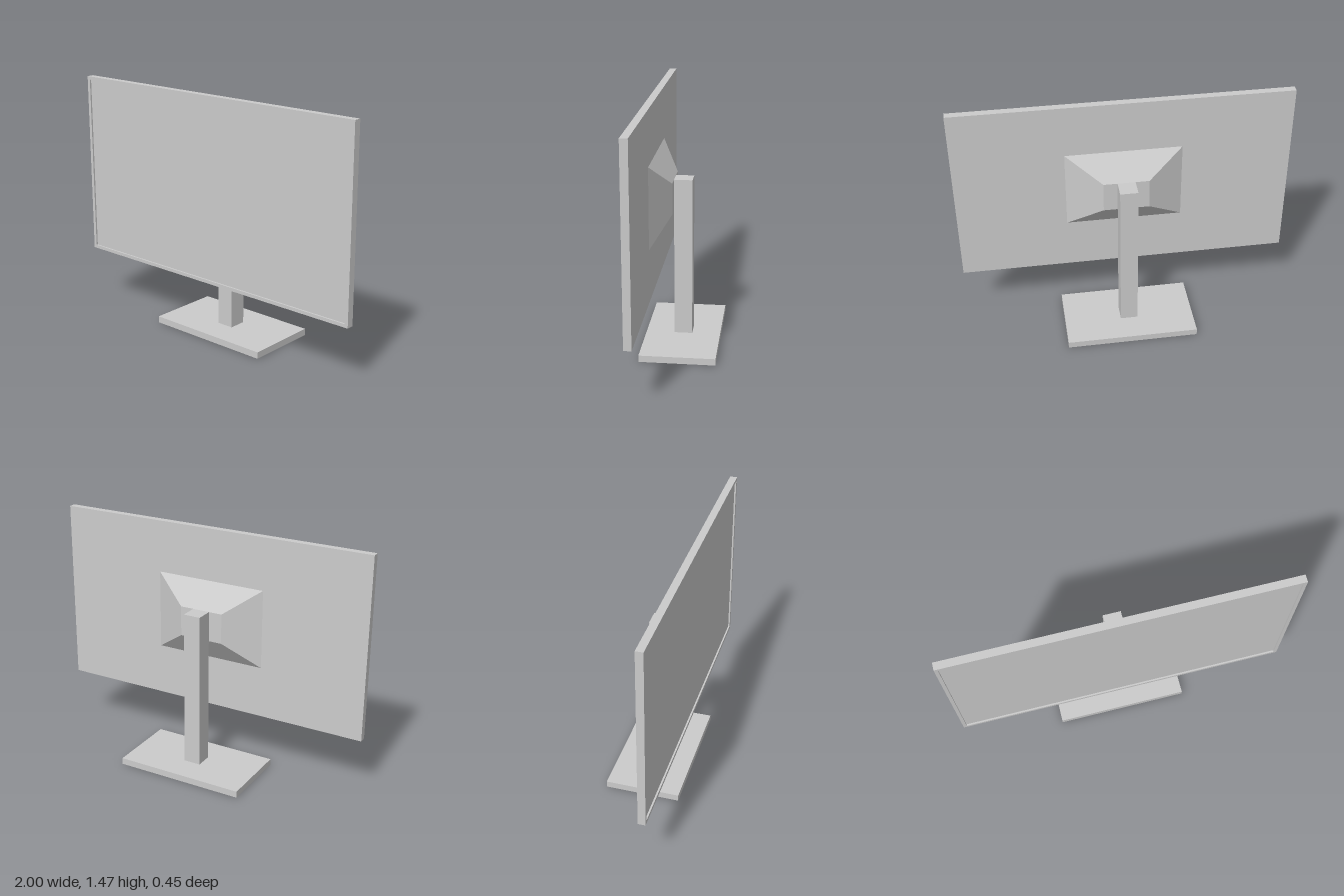
import * as THREE from 'three';

const material = new THREE.MeshStandardMaterial({ color: 0xcccccc, side: THREE.DoubleSide });

function addPart(parent, name, geometry, x = 0, y = 0, z = 0) {
  const mesh = new THREE.Mesh(geometry, material);
  mesh.name = name;
  mesh.position.set(x, y, z);
  parent.add(mesh);
  return mesh;
}

// Box with some faces left out; face order is +x, -x, +y, -y, +z, -z
function openBox(w, h, d, omitted) {
  const g = new THREE.BoxGeometry(w, h, d);
  const index = Array.from(g.index.array);
  g.setIndex(index.filter((_, i) => !omitted.includes(Math.floor(i / 6))));
  g.clearGroups();
  return g;
}

// Rectangle, centred on the origin, with a rectangular hole
function rectWithHole(w, h, holeW, holeH) {
  const corners = (a, b) => [[-a, -b], [a, -b], [a, b], [-a, b]].map(([x, y]) => new THREE.Vector2(x / 2, y / 2));
  const shape = new THREE.Shape(corners(w, h));
  shape.holes.push(new THREE.Path(corners(holeW, holeH).reverse()));
  return shape;
}

export function createModel() {
  const model = new THREE.Group();
  model.name = 'monitor';

  // Base: hollow tray, open below, with an opening under the post
  const base = new THREE.Group();
  base.name = 'base';
  model.add(base);
  const baseW = 0.8, baseH = 0.04, baseD = 0.448;
  const postW = 0.106, postD = 0.108, postTop = 1.004;
  addPart(base, 'baseWalls', openBox(baseW, baseH, baseD, [2, 3]), 0, baseH / 2, 0);
  const topPlate = new THREE.ShapeGeometry(rectWithHole(baseW, baseD, postW, postD));
  topPlate.rotateX(-Math.PI / 2);
  addPart(base, 'baseTop', topPlate, 0, baseH, 0);

  // Post: hollow, open at the bottom
  const postH = postTop - baseH;
  addPart(model, 'post', openBox(postW, postH, postD, [3]), 0, baseH + postH / 2, 0);

  // Neck: tapers from the panel back to the post
  const neckD = 0.108;
  const neck = new THREE.BoxGeometry(1, 1, neckD);
  const p = neck.attributes.position;
  for (let i = 0; i < p.count; i++) {
    const atPanel = p.getZ(i) > 0;
    p.setX(i, p.getX(i) * (atPanel ? 0.694 : 0.272));
    p.setY(i, p.getY(i) * (atPanel ? 0.484 : 0.184));
  }
  neck.computeVertexNormals();
  addPart(model, 'neck', neck, 0, 0.912, postD / 2 + neckD / 2);

  // Panel: casing with a thin bezel around a slightly recessed screen
  const panel = new THREE.Group();
  panel.name = 'panel';
  panel.position.set(0, 0.913, 0.162);
  model.add(panel);
  const panelW = 2, panelH = 1.118, panelD = 0.044, bezel = 0.02, recess = 0.01;
  const screenW = panelW - 2 * bezel, screenH = panelH - 2 * bezel;
  addPart(panel, 'bezel', new THREE.ExtrudeGeometry(
    rectWithHole(panelW, panelH, screenW, screenH), { depth: panelD, bevelEnabled: false }));
  const screenD = panelD - recess;
  addPart(panel, 'screen', new THREE.BoxGeometry(screenW, screenH, screenD), 0, 0, screenD / 2);

  return model;
}
